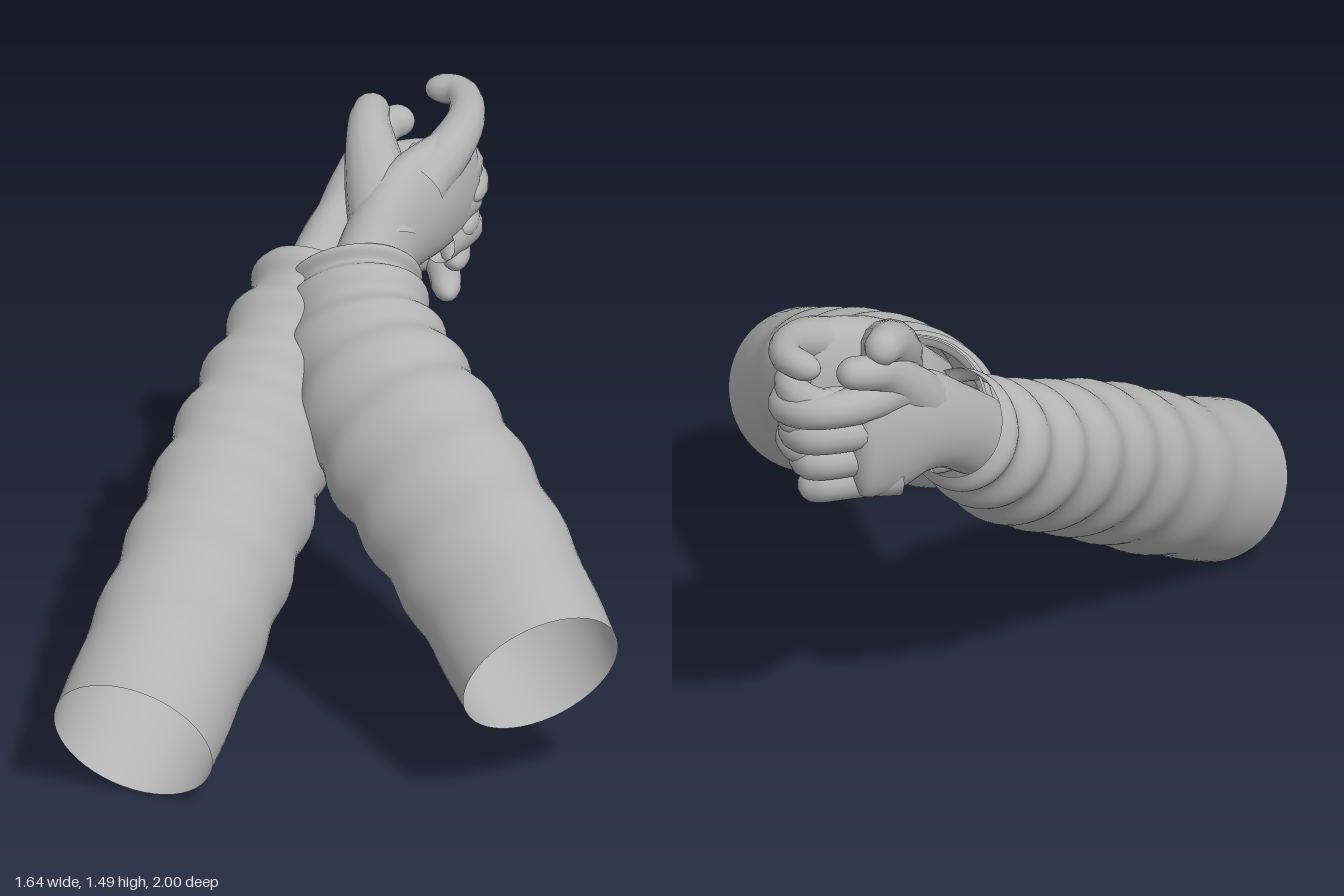
import * as THREE from 'three';

const grey = new THREE.MeshStandardMaterial({ color: 0xb3b3b3, side: THREE.DoubleSide });
grey.name = 'plain grey';

// Loft of elliptical rings along a smooth path. Each row: x, y, z, half-width along ref, half-width across.
function loft(name, rows, ref, { rings = 24, sides = 20, round = 0, ripple = null } = {}) {
  const path = new THREE.CatmullRomCurve3(rows.map(r => new THREE.Vector3(r[0], r[1], r[2])));
  const size = new THREE.CatmullRomCurve3(rows.map((r, i) => new THREE.Vector3(r[3], r[4], i * 0.2)));
  const pos = [], idx = [];
  const refV = new THREE.Vector3(...ref);
  for (let i = 0; i <= rings; i++) {
    const s = i / rings;
    const t = round ? 1 - (1 - s) ** 2 : s;
    const c = path.getPoint(t), tan = path.getTangent(t), r = size.getPoint(t);
    const u = refV.clone().addScaledVector(tan, -refV.dot(tan)).normalize();
    const v = tan.clone().cross(u);
    const over = round ? Math.max(0, (t - 1 + round) / round) : 0;
    const k = Math.sqrt(Math.max(0, 1 - over * over));
    for (let j = 0; j < sides; j++) {
      const a = (j / sides) * Math.PI * 2;
      const add = ripple ? ripple(t, a) : 0;
      const p = c.clone()
        .addScaledVector(u, (r.x + add) * k * Math.cos(a))
        .addScaledVector(v, (r.y + add) * k * Math.sin(a));
      pos.push(p.x, p.y, p.z);
      if (i < rings) {
        const n = (j + 1) % sides, b = i * sides;
        idx.push(b + j, b + n, b + sides + j, b + n, b + sides + n, b + sides + j);
      }
    }
  }
  const g = new THREE.BufferGeometry();
  g.setAttribute('position', new THREE.Float32BufferAttribute(pos, 3));
  g.setIndex(idx);
  g.computeVertexNormals();
  const m = new THREE.Mesh(g, grey);
  m.name = name;
  return m;
}

// Rounded finger; each point may carry its own radius, otherwise it tapers gently
const finger = (name, pts, r) => loft(name,
  pts.map(([x, y, z, own], i) => {
    const w = own ?? r * (1 - 0.06 * i);
    return [x, y, z, w, w];
  }), [0, 1, 0.05], { rings: 24, sides: 14, round: 0.13 });

// Soft folds that deepen toward the cuff
const folds = (count, lean) => (t, a) =>
  Math.sin(2 * Math.PI * (count * t ** 1.1 + lean * Math.sin(a))) * (0.004 + 0.011 * t) * Math.min(1, t * 6);

export function createModel() {
  const model = new THREE.Group();
  model.name = 'claspedArms';

  // Sleeves: open tubes
  const opts = { rings: 110, sides: 48 };
  model.add(loft('leftSleeve', [
    [0.59, 0.41, 0.875, 0.245, 0.24],
    [0.475, 0.55, 0.62, 0.26, 0.22],
    [0.365, 0.665, 0.40, 0.27, 0.215],
    [0.26, 0.765, 0.20, 0.275, 0.215],
    [0.165, 0.845, 0.0, 0.265, 0.215],
    [0.10, 0.93, -0.20, 0.235, 0.21],
    [0.075, 1.025, -0.35, 0.20, 0.18],
    [0.07, 1.075, -0.425, 0.185, 0.165],
  ], [0.79, 0.61, 0], { ...opts, ripple: folds(7.5, 0.12) }));
  model.add(loft('rightSleeve', [
    [-0.595, 0.205, 0.875, 0.245, 0.24],
    [-0.49, 0.34, 0.62, 0.25, 0.23],
    [-0.395, 0.475, 0.40, 0.25, 0.225],
    [-0.315, 0.595, 0.20, 0.245, 0.22],
    [-0.24, 0.70, 0.0, 0.235, 0.21],
    [-0.165, 0.81, -0.20, 0.215, 0.20],
    [-0.10, 0.935, -0.38, 0.18, 0.18],
    [-0.045, 1.04, -0.51, 0.15, 0.165],
  ], [-0.83, 0.56, 0], { ...opts, ripple: folds(7.5, -0.12) }));

  // Left hand: palm, pointing finger, three curled fingers and thumb
  const left = new THREE.Group();
  left.name = 'leftHand';
  left.add(loft('leftPalm', [
    [0.08, 1.02, -0.28, 0.12, 0.10],
    [0.12, 1.12, -0.42, 0.13, 0.105],
    [0.205, 1.20, -0.53, 0.17, 0.10],
    [0.30, 1.24, -0.62, 0.18, 0.09],
    [0.37, 1.25, -0.70, 0.175, 0.07],
    [0.40, 1.25, -0.75, 0.15, 0.055],
  ], [0, 1, 0], { rings: 40, sides: 32, round: 0.12 }));
  left.add(finger('leftIndex', [
    [0.26, 1.30, -0.56, 0.085], [0.36, 1.375, -0.67, 0.068], [0.405, 1.415, -0.80, 0.054],
    [0.385, 1.43, -0.91, 0.047], [0.29, 1.42, -0.965, 0.042],
  ]));
  [1.28, 1.18, 1.09].forEach((y, i) => left.add(finger('leftFinger' + (i + 1), [
    [0.31, y, -0.62, 0.07], [0.395, y, -0.73, 0.058], [0.375, y - 0.01, -0.82 + i * 0.02, 0.05],
    [0.30, y - 0.02, -0.85 + i * 0.02, 0.046], [0.22, y - 0.02, -0.79, 0.043],
  ])));
  left.add(finger('leftThumb', [
    [0.16, 1.17, -0.45, 0.10], [0.145, 1.28, -0.55, 0.10], [0.125, 1.365, -0.66, 0.08],
    [0.12, 1.42, -0.75, 0.06], [0.14, 1.43, -0.845, 0.05],
  ]));
  model.add(left);

  // Right hand: palm cupped behind, fingers wrapped around the left ones
  const right = new THREE.Group();
  right.name = 'rightHand';
  right.add(loft('rightPalm', [
    [-0.09, 0.96, -0.40, 0.12, 0.09],
    [-0.02, 1.05, -0.52, 0.13, 0.095],
    [0.05, 1.10, -0.62, 0.165, 0.095],
    [0.11, 1.11, -0.71, 0.185, 0.08],
    [0.17, 1.11, -0.79, 0.175, 0.06],
    [0.205, 1.11, -0.83, 0.15, 0.045],
  ], [0, 1, 0], { rings: 40, sides: 32, round: 0.12 }));
  [1.25, 1.155, 1.06, 0.975].forEach((y, i) => {
    const d = i * 0.025;
    right.add(finger('rightFinger' + (i + 1), [
      [0.10, y, -0.70, 0.068], [0.205, y, -0.83 + d, 0.057], [0.32, y - 0.01, -0.87 + d, 0.052],
      [0.41 - d, y - 0.03, -0.81 + d, 0.048], [0.42 - d, y - 0.04, -0.655 + d * 1.2, 0.043],
    ]));
  });
  right.add(finger('rightThumb', [
    [0.02, 1.13, -0.57, 0.085], [0.07, 1.23, -0.66, 0.078], [0.12, 1.32, -0.75, 0.06],
    [0.17, 1.36, -0.83, 0.052], [0.25, 1.37, -0.87, 0.046],
  ]));
  model.add(right);

  return model;
}
